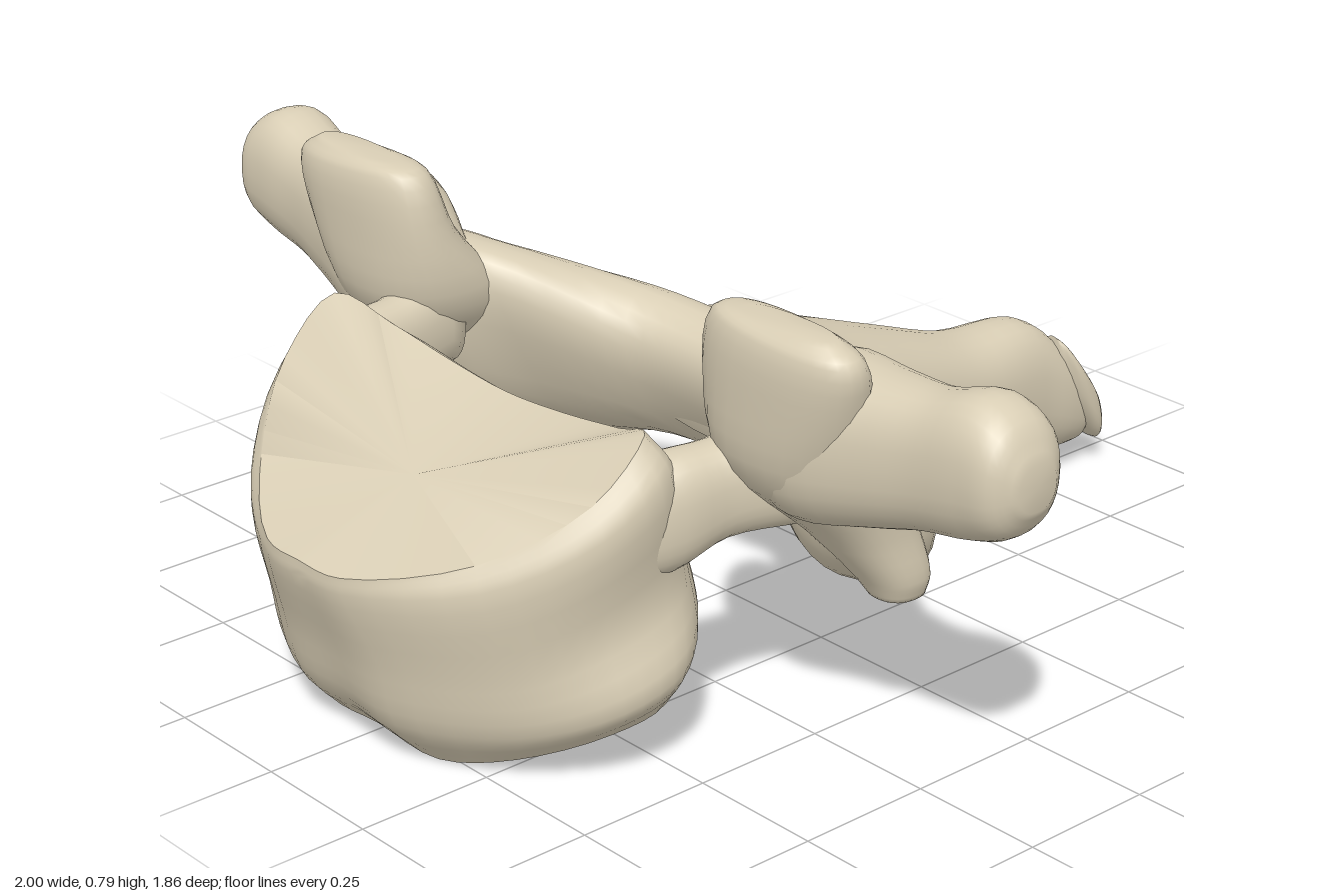
import * as THREE from 'three';
import { toCreasedNormals } from 'three/addons/utils/BufferGeometryUtils.js';

const V = (p) => new THREE.Vector3(...p);

// Closed skin through rings of equal length, smoothed lengthwise, with a fan on each end
function loft(rings, steps, capA, capB) {
  const n = rings[0].length, rows = (rings.length - 1) * steps;
  const columns = rings[0].map((_, i) => new THREE.CatmullRomCurve3(rings.map((r) => r[i])));
  const pos = [], idx = [];
  for (let j = 0; j <= rows; j++) {
    for (const c of columns) pos.push(...c.getPoint(j / rows).toArray());
  }
  const mean = (r) => r.reduce((a, p) => a.add(p), V([0, 0, 0])).divideScalar(n);
  pos.push(...(capA || mean(rings[0]).toArray()), ...(capB || mean(rings[rings.length - 1]).toArray()));
  const a0 = (rows + 1) * n;
  for (let i = 0; i < n; i++) {
    const k = (i + 1) % n;
    for (let j = 0; j < rows; j++) {
      const a = j * n + i, b = j * n + k;
      idx.push(a, b, b + n, a, b + n, a + n);
    }
    idx.push(a0, k, i, a0 + 1, rows * n + i, rows * n + k);
  }
  // Turn the faces outward
  let volume = 0;
  const at = (i) => V(pos.slice(i * 3, i * 3 + 3));
  for (let i = 0; i < idx.length; i += 3) {
    volume += at(idx[i]).dot(at(idx[i + 1]).cross(at(idx[i + 2])));
  }
  if (volume < 0) idx.reverse();
  const g = new THREE.BufferGeometry();
  g.setAttribute('position', new THREE.Float32BufferAttribute(pos, 3));
  g.setIndex(idx);
  g.computeVertexNormals();
  return g;
}

// Oval ring: centre and its two half axes
function oval([c, u, v], side = 1, n = 28) {
  const soft = (t) => Math.sign(t) * Math.abs(t) ** 0.85;
  return Array.from({ length: n }, (_, i) => {
    const a = (i / n) * Math.PI * 2;
    const p = V(c).addScaledVector(V(u), soft(Math.cos(a))).addScaledVector(V(v), soft(Math.sin(a)));
    p.x *= side;
    return p;
  });
}

// Outline given for +x from front to back, mirrored into a closed ring
function outline(half) {
  const other = half.slice(1, -1).reverse().map(([x, y, z]) => [-x, y, z]);
  const curve = new THREE.CatmullRomCurve3([...half, ...other].map(V), true);
  return Array.from({ length: 56 }, (_, i) => curve.getPoint(i / 56));
}

export function createModel() {
  const model = new THREE.Group();
  const bone = new THREE.MeshStandardMaterial({ color: 0xd9ceb5 });
  bone.name = 'bone';
  const add = (name, geometry) => {
    const mesh = new THREE.Mesh(geometry, bone);
    mesh.name = name;
    model.add(mesh);
  };

  // Vertebral body, bottom to top
  const body = [
    [[0, .01, .78], [.15, 0, .77], [.28, .03, .71], [.39, .08, .6], [.41, .11, .5], [.32, .16, .4], [.2, .19, .33], [0, .19, .36]],
    [[0, .08, .84], [.13, .08, .84], [.33, .1, .74], [.45, .15, .62], [.46, .19, .5], [.35, .22, .38], [.2, .22, .31], [0, .22, .34]],
    [[0, .2, .88], [.13, .2, .87], [.33, .22, .76], [.42, .28, .63], [.42, .33, .48], [.32, .36, .39], [.15, .37, .35], [0, .36, .36]],
    [[0, .33, .925], [.1, .33, .915], [.31, .37, .8], [.44, .46, .65], [.45, .54, .52], [.31, .51, .44], [.15, .49, .43], [0, .48, .43]],
    [[0, .36, .925], [.1, .36, .915], [.29, .41, .79], [.41, .51, .65], [.41, .6, .54], [.3, .565, .5], [.15, .54, .49], [0, .53, .49]],
  ].map(outline);
  add('vertebralBody', toCreasedNormals(loft(body, 4, [0, .08, .58], [0, .44, .69]), 0.75));

  // Arch behind the canal, one side to the other
  const archHalf = [
    [[.6, .43, .23], [0, .1, .03], [.02, 0, -.05]],
    [[.53, .43, .19], [0, .17, .05], [.07, 0, -.1]],
    [[.4, .4, .09], [0, .2, .1], [.06, 0, -.09]],
    [[.2, .38, -.03], [0, .14, .07], [.03, .04, -.08]],
  ];
  const archMiddle = [[0, .36, -.07], [0, .14, .08], [0, .04, -.09]];
  const archOther = archHalf.slice().reverse().map((s) => oval(s, -1));
  add('arch', loft([...archHalf.map((s) => oval(s)), oval(archMiddle), ...archOther], 5));

  // Rear spine: z, half width, bottom, top
  const spine = [
    [.02, .22, .3, .46], [-.1, .3, .24, .49], [-.25, .22, .175, .45], [-.4, .155, .125, .4],
    [-.57, .11, .09, .345], [-.74, .085, .06, .33], [-.83, .08, .045, .26], [-.89, .06, .05, .18], [-.905, .02, .08, .13],
  ].map(([z, w, lo, hi]) => oval([[0, (lo + hi) / 2, z], [w, 0, 0], [0, (hi - lo) / 2, 0]]));
  add('rearSpine', loft(spine, 4));

  for (const side of [1, -1]) {
    const label = side > 0 ? 'left' : 'right';
    const limb = (name, sections) => add(label + name, loft(sections.map((s) => oval(s, side)), 4));

    // Forked tip of the rear spine
    limb('SpineTip', [
      [[.04, .25, -.8], [.02, 0, 0], [0, .04, 0]],
      [[.045, .19, -.84], [.042, 0, 0], [0, .09, .03]],
      [[.045, .125, -.895], [.038, 0, 0], [0, .075, .02]],
      [[.045, .11, -.925], [.015, 0, 0], [0, .04, .01]],
    ]);

    // Articular pillar, upper facet down to lower facet
    limb('ArticularPillar', [
      [[.56, .79, .37], [.1, 0, 0], [0, 0, .03]],
      [[.55, .765, .365], [.16, -.01, 0], [0, 0, .06]],
      [[.53, .66, .345], [.17, 0, 0], [0, 0, .085]],
      [[.51, .52, .28], [.15, 0, 0], [0, 0, .13]],
      [[.55, .4, .21], [.1, 0, 0], [0, 0, .09]],
      [[.59, .31, .17], [.065, 0, 0], [0, 0, .06]],
      [[.6, .275, .165], [.045, 0, 0], [0, 0, .045]],
    ]);

    // Side wing
    limb('Wing', [
      [[.45, .55, .29], [0, .1, 0], [0, 0, .08]],
      [[.56, .58, .29], [0, .145, 0], [0, 0, .12]],
      [[.7, .595, .28], [0, .13, 0], [0, 0, .1]],
      [[.8, .61, .275], [0, .118, 0], [0, 0, .085]],
      [[.9, .63, .265], [0, .122, 0], [0, 0, .09]],
      [[.965, .63, .265], [0, .095, 0], [0, 0, .08]],
      [[.998, .625, .265], [0, .04, 0], [0, 0, .04]],
    ]);

    // Pedicle joining body and pillar
    limb('Pedicle', [
      [[.38, .43, .6], [.04, 0, 0], [0, .08, 0]],
      [[.4, .45, .5], [.065, 0, 0], [0, .1, 0]],
      [[.42, .47, .4], [.06, 0, 0], [0, .085, 0]],
      [[.46, .49, .28], [.08, 0, 0], [0, .1, 0]],
    ]);
  }
  return model;
}
